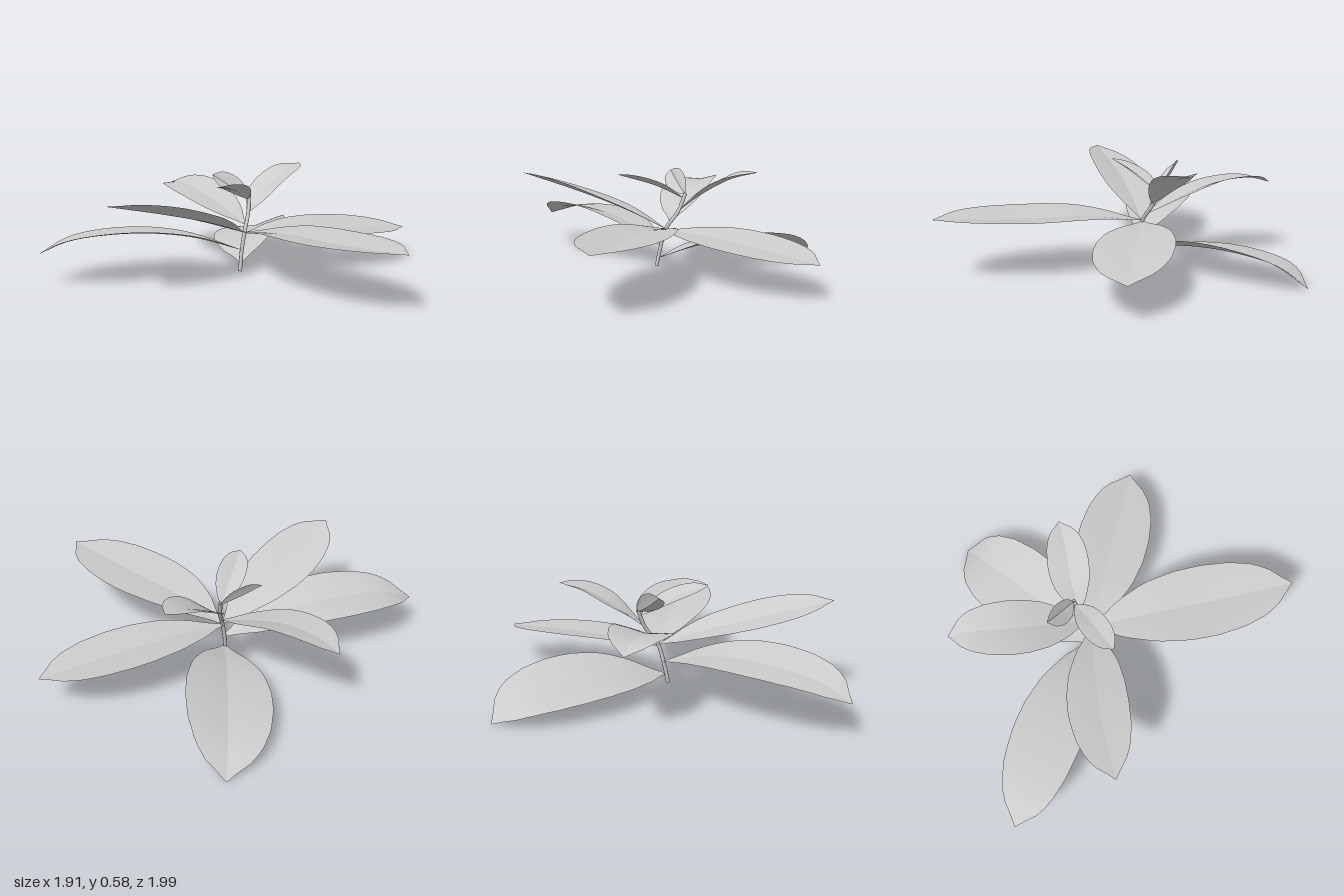
import * as THREE from 'three';
import { mergeGeometries } from 'three/addons/utils/BufferGeometryUtils.js';

const V = (p) => new THREE.Vector3(...p);
const UP = new THREE.Vector3(0, 1, 0);

// Blade half-width along the leaf, as a share of its widest point
const PROFILE = [[0, 0.06], [0.06, 0.2], [0.15, 0.52], [0.3, 0.84], [0.45, 0.98], [0.58, 1],
  [0.72, 0.92], [0.84, 0.73], [0.92, 0.45], [0.96, 0.2], [1, 0.01]];

function widthAt(t) {
  let i = 1;
  while (i < PROFILE.length - 1 && t > PROFILE[i][0]) i++;
  const [a, wa] = PROFILE[i - 1], [b, wb] = PROFILE[i];
  return wa + (wb - wa) * (t - a) / (b - a);
}

// A leaf follows its midrib; roll tips it sideways, fold lifts both edges
function leafGeometry(points, half, roll, fold) {
  const rib = new THREE.CatmullRomCurve3(points.map(V));
  const halves = [-0.5, 0.5].map((shift) => {
    const g = new THREE.PlaneGeometry(1, 1, 3, 22);
    const pos = g.attributes.position;
    for (let i = 0; i < pos.count; i++) {
      const u = pos.getX(i) + shift;
      const t = THREE.MathUtils.clamp(pos.getY(i) + 0.5, 0, 1);
      const along = rib.getTangentAt(t);
      const side = along.clone().cross(UP).normalize();
      const lift = side.clone().cross(along);
      side.addScaledVector(lift, roll).normalize();
      lift.copy(side).cross(along).normalize();
      const w = half * widthAt(t);
      const p = rib.getPointAt(t).addScaledVector(side, u * w)
        .addScaledVector(lift, Math.abs(u) * (1.3 - 0.3 * Math.abs(u)) * fold * w);
      pos.setXYZ(i, p.x, p.y, p.z);
    }
    g.computeVertexNormals();
    return g;
  });
  return mergeGeometries(halves);
}

const LEAVES = [
  { name: 'lowerBackRightLeaf', half: 0.225, roll: 0.25, fold: 0.14,
    points: [[-0.19, 0.08, 0], [-0.38, 0.13, -0.18], [-0.6, 0.135, -0.4], [-0.79, 0.09, -0.6], [-0.88, 0.01, -0.7]] },
  { name: 'lowerFrontRightLeaf', half: 0.195, roll: -0.15, fold: 0.12,
    points: [[-0.19, 0.15, 0], [-0.32, 0.24, 0.25], [-0.47, 0.278, 0.53], [-0.63, 0.255, 0.85], [-0.71, 0.19, 1]] },
  { name: 'backLeaf', half: 0.205, roll: -0.08, fold: 0.1,
    points: [[-0.2, 0.24, -0.03], [-0.1, 0.245, -0.3], [0.01, 0.23, -0.6], [0.15, 0.2, -0.99]] },
  { name: 'leftLeaf', half: 0.215, roll: 0.02, fold: 0.13,
    points: [[-0.19, 0.25, -0.03], [0.1, 0.295, -0.05], [0.5, 0.31, -0.08], [0.95, 0.34, -0.12]] },
  { name: 'frontLeaf', half: 0.165, roll: -0.22, fold: 0.15,
    points: [[-0.2, 0.25, -0.02], [-0.2, 0.335, 0.2], [-0.2, 0.42, 0.48], [-0.16, 0.53, 0.88]] },
  { name: 'rightLeaf', half: 0.15, roll: 0.13, fold: 0.14,
    points: [[-0.22, 0.29, -0.05], [-0.4, 0.365, -0.03], [-0.62, 0.435, -0.01], [-0.84, 0.455, -0.01], [-0.96, 0.425, -0.01]] },
  { name: 'upperBackLeaf', half: 0.112, roll: 0, fold: 0.2,
    points: [[-0.24, 0.35, -0.09], [-0.27, 0.45, -0.22], [-0.28, 0.545, -0.39], [-0.3, 0.585, -0.535]] },
  { name: 'upperFrontLeaf', half: 0.075, roll: -0.2, fold: 0.25,
    points: [[-0.265, 0.42, -0.11], [-0.19, 0.495, 0.03], [-0.09, 0.56, 0.22]] },
  { name: 'topLeaf', half: 0.06, roll: 0.9, fold: 0.45,
    points: [[-0.27, 0.44, -0.12], [-0.34, 0.49, -0.05], [-0.42, 0.56, 0.03]] },
];

export function createModel() {
  const group = new THREE.Group();
  const leafMaterial = new THREE.MeshStandardMaterial({ color: 0xcccccc, side: THREE.DoubleSide });
  const add = (name, geometry, material) => {
    const mesh = new THREE.Mesh(geometry, material);
    mesh.name = name;
    group.add(mesh);
  };

  // Leaning stem joining every leaf base
  const path = new THREE.CatmullRomCurve3([[-0.18, 0.03, 0.02], [-0.19, 0.14, 0],
    [-0.2, 0.25, -0.03], [-0.24, 0.35, -0.09], [-0.27, 0.45, -0.12]].map(V));
  add('stem', new THREE.TubeGeometry(path, 16, 0.011, 8), leafMaterial);

  for (const { name, points, half, roll, fold } of LEAVES) {
    add(name, leafGeometry(points, half, roll, fold), leafMaterial);
  }
  return group;
}
